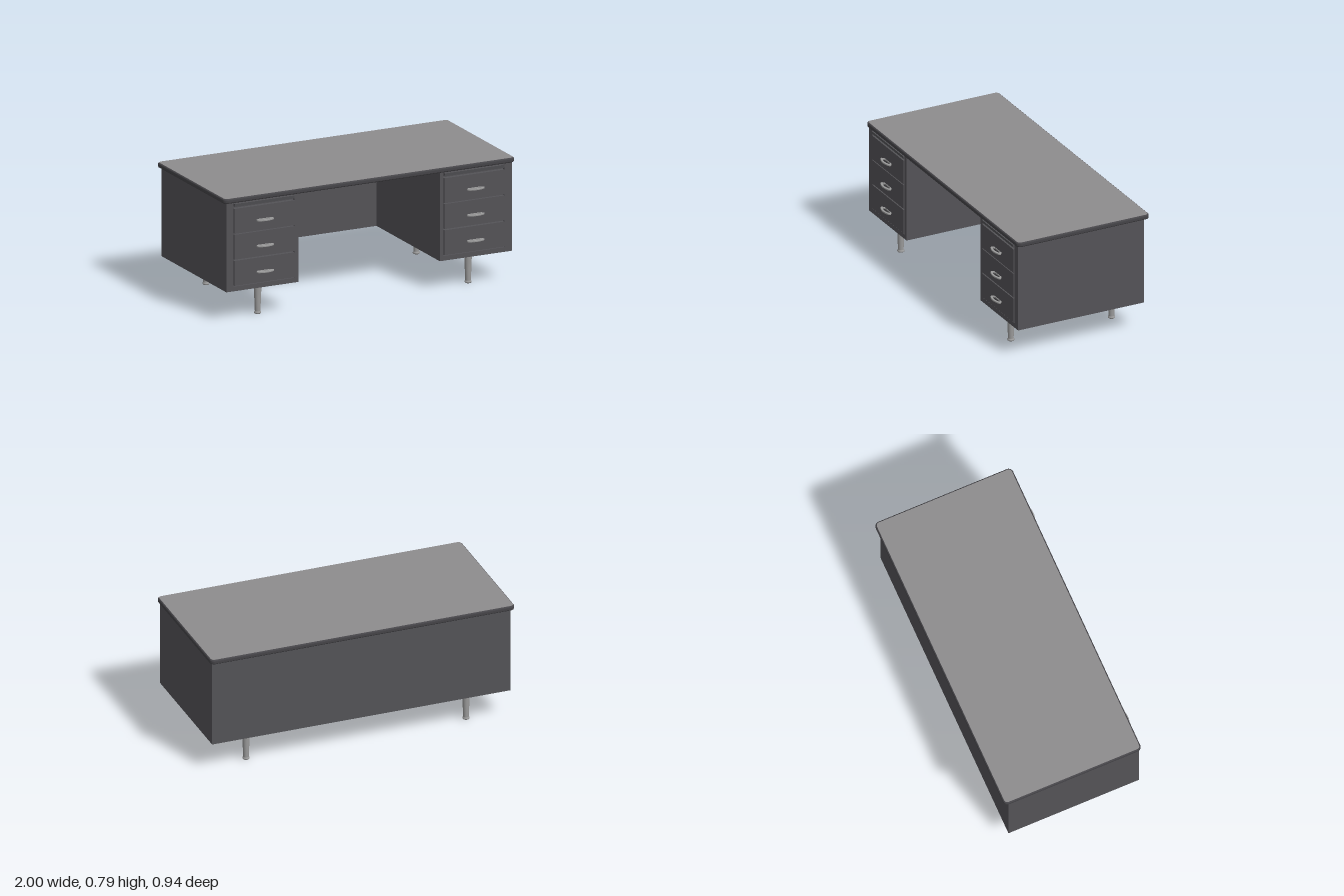
import * as THREE from 'three';

const material = (name, color) => {
  const m = new THREE.MeshStandardMaterial({ color });
  m.name = name;
  return m;
};

export function createModel() {
  const desk = new THREE.Group();
  desk.name = 'desk';
  const body = material('charcoal steel', 0x545357);
  const trim = material('dark edge trim', 0x454448);
  const surface = material('grey work surface', 0x8e8c8e);
  const metal = material('brushed metal', 0x9a9a9a);

  const add = (parent, name, geometry, mat, x = 0, y = 0, z = 0) => {
    const mesh = new THREE.Mesh(geometry, mat);
    mesh.name = name;
    mesh.position.set(x, y, z);
    parent.add(mesh);
    return mesh;
  };
  // Box given by its limits on each axis
  const box = (parent, name, mat, x0, x1, y0, y1, z0, z1) =>
    add(parent, name, new THREE.BoxGeometry(x1 - x0, y1 - y0, z1 - z0), mat,
      (x0 + x1) / 2, (y0 + y1) / 2, (z0 + z1) / 2);

  const roundedRect = (w, d, r) => {
    const s = new THREE.Shape();
    s.absarc(w - r, d - r, r, 0, Math.PI / 2);
    s.absarc(-w + r, d - r, r, Math.PI / 2, Math.PI);
    s.absarc(-w + r, -d + r, r, Math.PI, Math.PI * 1.5);
    s.absarc(w - r, -d + r, r, Math.PI * 1.5, Math.PI * 2);
    s.closePath();
    return s;
  };

  // Desktop: rounded trim slab with a thin work surface on it
  const slab = new THREE.ExtrudeGeometry(roundedRect(0.99, 0.448, 0.02), {
    depth: 0.011, bevelSize: 0.01, bevelThickness: 0.01, bevelSegments: 4, curveSegments: 8,
  }).rotateX(-Math.PI / 2);
  add(desk, 'desktopEdge', slab, trim, 0, 0.765, -0.0155);
  const sheet = new THREE.ExtrudeGeometry(roundedRect(0.992, 0.45, 0.021), {
    depth: 0.003, bevelEnabled: false, curveSegments: 8,
  }).rotateX(-Math.PI / 2);
  add(desk, 'workSurface', sheet, surface, 0, 0.784, -0.0155);

  // Back panel across the knee space
  box(desk, 'backPanel', body, -0.49, 0.49, 0.19, 0.757, -0.44, -0.42);

  // Front frame of a pedestal, with one opening for the drawers
  const frame = new THREE.Shape([[0.485, 0.19], [0.98, 0.19], [0.98, 0.757], [0.485, 0.757]]
    .map(([x, y]) => new THREE.Vector2(x, y)));
  frame.holes.push(new THREE.Path([[0.512, 0.22], [0.512, 0.75], [0.93, 0.75], [0.93, 0.22]]
    .map(([x, y]) => new THREE.Vector2(x, y))));
  const frameGeometry = new THREE.ExtrudeGeometry(frame, { depth: 0.02, bevelEnabled: false });

  // Drawer pull: a flat bowed loop
  const pullShape = new THREE.Shape();
  pullShape.moveTo(-0.042, 0);
  pullShape.lineTo(-0.057, 0.014);
  pullShape.quadraticCurveTo(-0.057, 0.026, -0.035, 0.031);
  pullShape.quadraticCurveTo(0, 0.042, 0.035, 0.031);
  pullShape.quadraticCurveTo(0.057, 0.026, 0.057, 0.014);
  pullShape.lineTo(0.042, 0);
  pullShape.closePath();
  const pullHole = new THREE.Path();
  pullHole.moveTo(-0.034, 0.003);
  pullHole.lineTo(0.034, 0.003);
  pullHole.lineTo(0.046, 0.016);
  pullHole.quadraticCurveTo(0, 0.038, -0.046, 0.016);
  pullHole.closePath();
  pullShape.holes.push(pullHole);
  const pullGeometry = new THREE.ExtrudeGeometry(pullShape, {
    depth: 0.006, bevelSize: 0.002, bevelThickness: 0.002, bevelSegments: 2, curveSegments: 8,
  }).rotateX(Math.PI / 2);

  // Writing board lip, leaning out towards its top edge
  const lipProfile = new THREE.Shape([[0, 0.728], [-0.434, 0.728], [-0.438, 0.748], [0, 0.748]]
    .map(([z, y]) => new THREE.Vector2(z, y)));
  const lipGeometry = new THREE.ExtrudeGeometry(lipProfile, { depth: 0.41, bevelEnabled: false })
    .rotateY(Math.PI / 2);

  // Tapered leg with a rolled foot
  const legGeometry = new THREE.LatheGeometry([
    [0, 0], [0.018, 0], [0.022, 0.004], [0.022, 0.01], [0.018, 0.014],
    [0.0175, 0.018], [0.024, 0.184],
  ].map(([x, y]) => new THREE.Vector2(x, y)), 24);

  for (const [side, label] of [[-1, 'right'], [1, 'left']]) {
    const pedestal = new THREE.Group();
    pedestal.name = label + 'Pedestal';
    desk.add(pedestal);
    const offset = side > 0 ? 0 : -1.465;
    const x0 = side > 0 ? 0.485 : -0.98;
    const mid = side * 0.7225;

    box(pedestal, 'cabinet', body, x0, x0 + 0.495, 0.19, 0.757, -0.44, 0.41);
    // The frame is mirrored by turning it about the pedestal centre
    const front = add(pedestal, 'frontFrame', frameGeometry, body, offset, 0, 0.41);
    if (side < 0) {
      front.rotation.y = Math.PI;
      front.position.set(0, 0, 0.43);
    }

    const drawerMid = side * 0.721;
    add(pedestal, 'writingBoard', lipGeometry, body, drawerMid - 0.205, 0, 0);
    [0.225, 0.392, 0.557].forEach((y, i) => {
      box(pedestal, 'drawerFront' + (i + 1), body,
        drawerMid - 0.205, drawerMid + 0.205, y, y + 0.159, 0.4, 0.434);
      add(pedestal, 'drawerPull' + (i + 1), pullGeometry, metal, mid, 0.299 + i * 0.165, 0.432);
    });

    // Legs and their mounting plates
    for (const z of [0.345, -0.35]) {
      box(pedestal, 'legPlate', body, mid - 0.045, mid + 0.045, 0.183, 0.191, z - 0.045, z + 0.045);
      add(pedestal, 'leg', legGeometry, metal, mid, 0, z);
    }
  }
  return desk;
}
